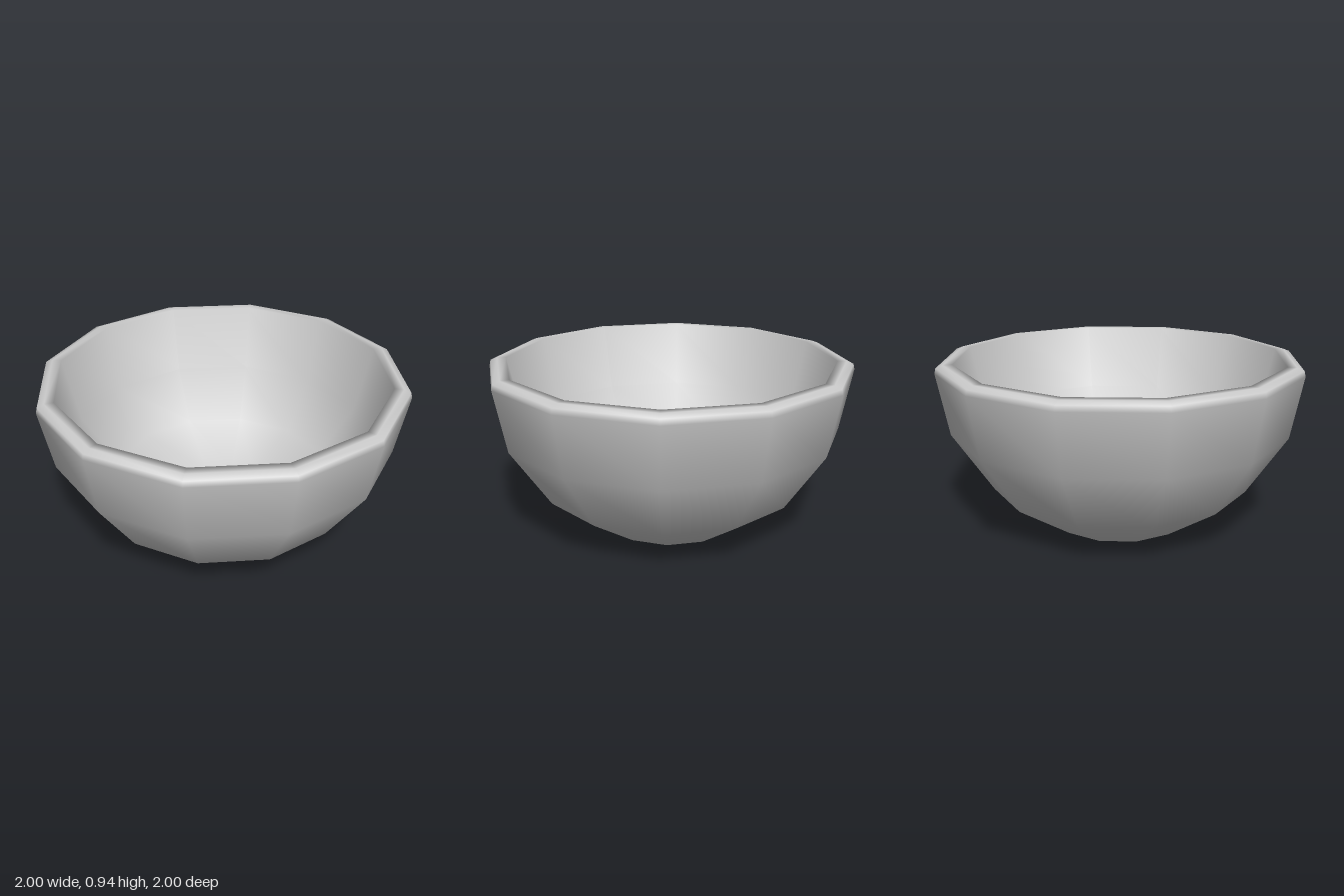
import * as THREE from 'three';

const SIDES = 12;

export function createModel() {
  const group = new THREE.Group();
  group.name = 'bowl';

  // Closed wall profile: outside going up, over the flat rim, inside going down
  const profile = [
    [0, 0], [0.28, 0], [0.385, 0], // flat foot
    [0.715, 0.22], [0.935, 0.55], [1, 0.89], // outer wall
    [0.993, 0.92], [0.955, 0.935], [0.905, 0.935], // rim, rounded outside and sharp inside
    [0.818, 0.57], [0.613, 0.302], // inner wall
    [0.29, 0.13], [0.2, 0.13], [0, 0.13], // flat floor
  ].map(([r, y]) => new THREE.Vector2(r, y));

  const shell = new THREE.Mesh(
    new THREE.LatheGeometry(profile, SIDES),
    new THREE.MeshStandardMaterial({ color: 0xcccccc })
  );
  shell.name = 'bowlShell';
  group.add(shell);
  return group;
}
